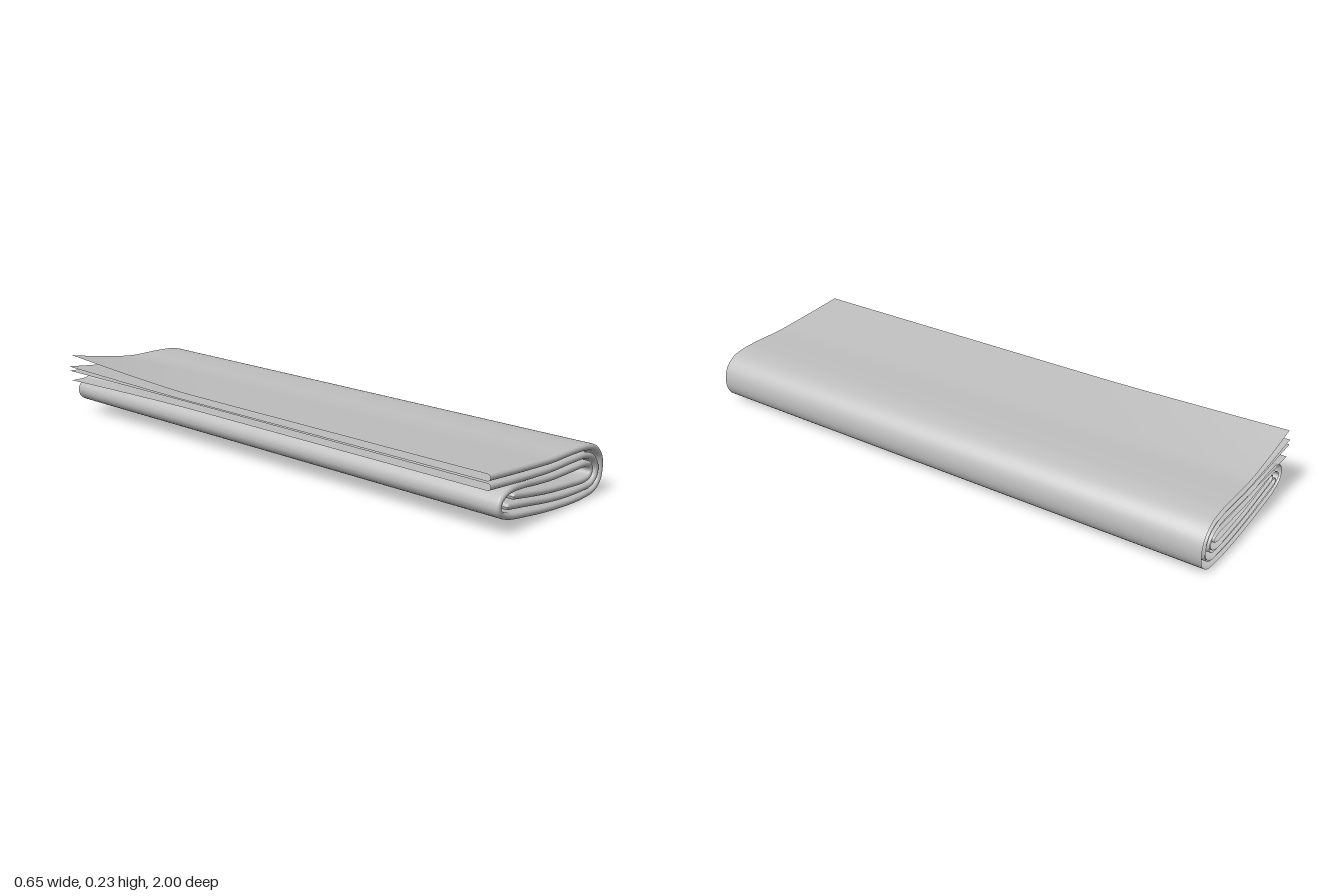
import * as THREE from 'three';

const HALF = 0.0105;            // half thickness of the doubled cloth
const FRONT = 0.995, BACK = -1; // extent along z
const clamp = THREE.MathUtils.clamp;

// One doubled strip: a sheet folded over at the front, swept along a profile in x, y.
// lifts: how far the upper and lower sheet bend up or down at the loose back corner.
function foldedStrip(points, lifts, segments, material, name) {
  const curve = new THREE.CatmullRomCurve3(
    points.map(([x, y]) => new THREE.Vector3(x, y, 0)), false, 'centripetal');
  curve.arcLengthDivisions = 800;
  const length = curve.getLength();

  // Section: along the upper sheet, round the front fold, back along the lower sheet
  const section = [];
  const SHEET = 20, FOLD = 10;
  const bend = FRONT - HALF;
  for (let i = 0; i < SHEET; i++) {
    section.push([THREE.MathUtils.lerp(BACK, bend, i / SHEET), 1, 0]);
  }
  for (let i = 0; i <= FOLD; i++) {
    const a = Math.PI * i / FOLD;
    section.push([bend + HALF * Math.sin(a), Math.cos(a), 1]);
  }
  for (let i = SHEET - 1; i >= 0; i--) {
    section.push([THREE.MathUtils.lerp(BACK, bend, i / SHEET), -1, 1]);
  }

  const positions = [], index = [];
  const cols = section.length;
  for (let i = 0; i <= segments; i++) {
    // Extra rows gather near the inner end so that its tip is round
    const s = 1 - Math.pow(1 - i / segments, 1.25);
    const p = curve.getPointAt(s), t = curve.getTangentAt(s);
    const rest = clamp((1 - s) * length / 0.012, 0, 1);
    const tip = Math.sqrt(1 - (1 - rest) ** 2);
    for (const [z, side, lower] of section) {
      const back = (1 - z) / 2;
      const h = HALF * side * tip * (1 + 0.15 * back);
      let x = p.x - t.y * h + 0.02 * back;
      let y = p.y + t.x * h;
      // Loose corner curls at the back
      if (s < 0.3 && p.x < 0) {
        const curl = Math.pow(clamp((-z - 0.3) / 0.7, 0, 1), 1.3) * Math.pow(-p.x / 0.325, 1.4);
        y += lifts[lower] * curl;
        x += Math.abs(lifts[lower]) * 0.8 * curl;
      }
      positions.push(x, y, z);
    }
  }
  for (let i = 0; i < segments; i++) {
    for (let j = 0; j < cols - 1; j++) {
      const a = i * cols + j, b = a + cols;
      index.push(a, a + 1, b, b, a + 1, b + 1);
    }
  }
  const geometry = new THREE.BufferGeometry();
  geometry.setAttribute('position', new THREE.Float32BufferAttribute(positions, 3));
  geometry.setIndex(index);
  geometry.computeVertexNormals();
  const mesh = new THREE.Mesh(geometry, material);
  mesh.name = name;
  return mesh;
}

export function createModel() {
  const group = new THREE.Group();
  group.name = 'foldedTowel';
  const cloth = new THREE.MeshStandardMaterial({ color: 0xc0c0c0, side: THREE.DoubleSide });
  cloth.name = 'grey cloth';

  // Outer strip: top, right turn, underside, left turn, middle, inner turn, inner end
  const outer = [
    [-0.325, 0.197], [-0.2, 0.187], [-0.1, 0.18], [0, 0.174], [0.12, 0.174], [0.2, 0.17],
    [0.25, 0.157], [0.283, 0.125], [0.292, 0.085], [0.282, 0.045], [0.25, 0.021], [0.2, 0.014],
    [0.13, 0.013], [0, 0.022], [-0.12, 0.037], [-0.22, 0.054], [-0.258, 0.072], [-0.267, 0.092],
    [-0.255, 0.115], [-0.22, 0.131], [-0.15, 0.132], [-0.08, 0.125], [0, 0.119], [0.12, 0.118],
    [0.195, 0.117], [0.223, 0.108], [0.231, 0.09], [0.222, 0.073], [0.19, 0.066], [0.1, 0.071],
    [0, 0.08], [-0.1, 0.094], [-0.203, 0.111],
  ];
  // Inner strip: under the top layer, one right turn, then in to its end
  const inner = [
    [-0.322, 0.168], [-0.2, 0.158], [-0.1, 0.151], [0, 0.146], [0.12, 0.147], [0.195, 0.144],
    [0.243, 0.126], [0.265, 0.09], [0.256, 0.059], [0.23, 0.043], [0.19, 0.04], [0.1, 0.042],
    [0, 0.051], [-0.1, 0.066], [-0.232, 0.086],
  ];
  group.add(
    foldedStrip(outer, [0.026, 0.008], 240, cloth, 'outerClothLayer'),
    foldedStrip(inner, [-0.004, -0.021], 130, cloth, 'innerClothLayer'),
  );
  return group;
}
